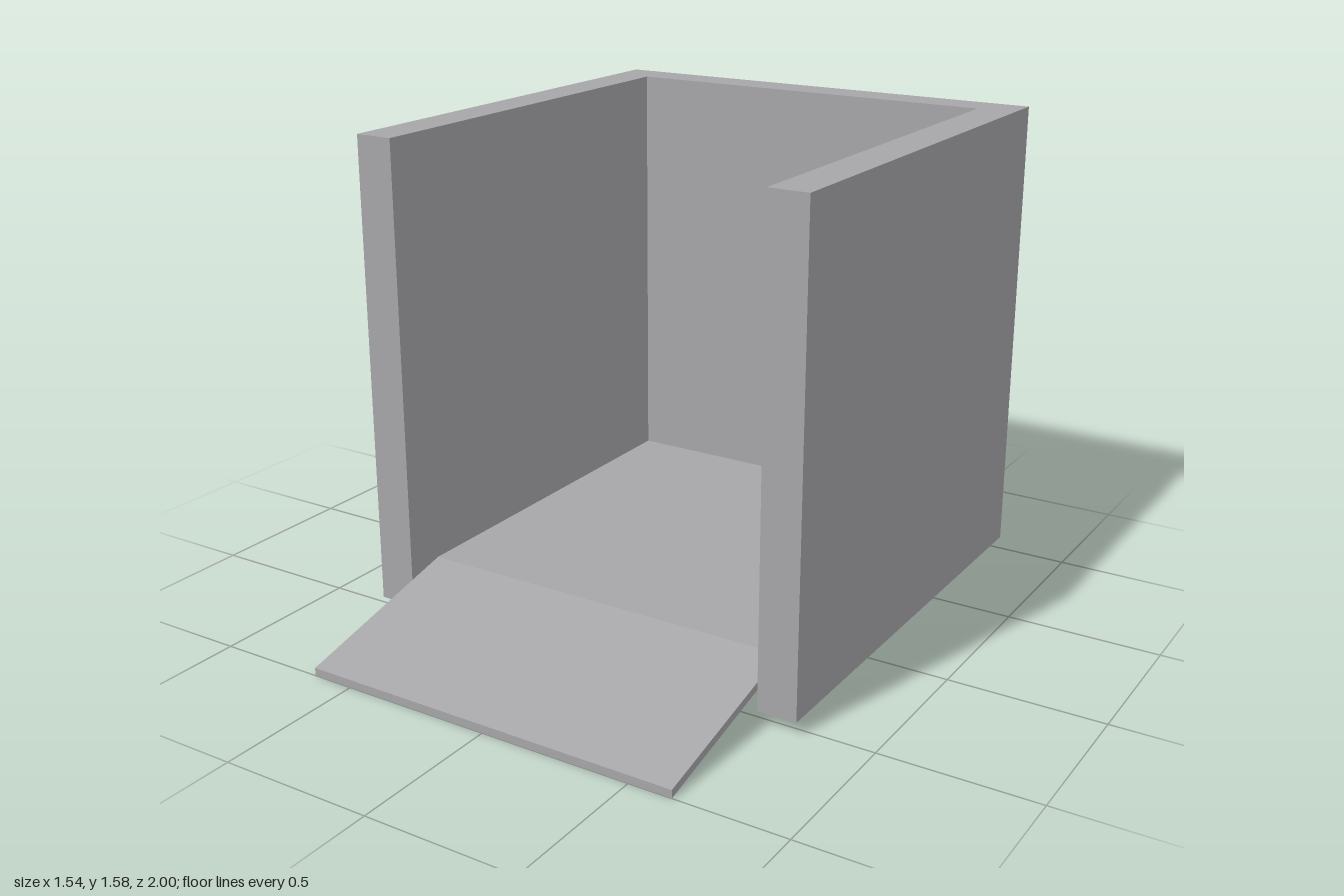
import * as THREE from 'three';

export function createModel() {
  const model = new THREE.Group();
  const grey = new THREE.MeshStandardMaterial({ color: 0xa6a6a9 });
  grey.name = 'plain grey';

  const outer = 0.768, inner = 0.64;
  const back = -1, innerBack = -0.875, front = 0.537;
  const bottom = 0.042, top = 1.577;
  const floorTop = 0.166, floorBottom = 0.141, floorFront = 0.405;

  // Extrude a closed outline of [u, v] points
  const extrude = (name, points, depth) => {
    const shape = new THREE.Shape(points.map(([u, v]) => new THREE.Vector2(u, v)));
    const geometry = new THREE.ExtrudeGeometry(shape, { depth, bevelEnabled: false });
    const mesh = new THREE.Mesh(geometry, grey);
    mesh.name = name;
    model.add(mesh);
    return mesh;
  };

  // U-shaped walls, drawn in plan (x, -z) and raised upright
  const walls = extrude('walls', [
    [-outer, -front], [-inner, -front], [-inner, -innerBack], [inner, -innerBack],
    [inner, -front], [outer, -front], [outer, -back], [-outer, -back],
  ], top - bottom);
  walls.rotation.x = -Math.PI / 2;
  walls.position.y = bottom;

  // Thin floor, set above the lower edge of the walls
  const floor = new THREE.Mesh(
    new THREE.BoxGeometry(2 * inner, floorTop - floorBottom, floorFront - innerBack), grey);
  floor.name = 'floor';
  floor.position.set(0, (floorTop + floorBottom) / 2, (floorFront + innerBack) / 2);
  model.add(floor);

  // Sloping entry ramp, drawn in side section (-z, y) and swept across x
  const ramp = extrude('ramp', [
    [-1, 0], [-floorFront, floorBottom], [-floorFront, floorTop], [-1, 0.026],
  ], 2 * inner);
  ramp.rotation.y = Math.PI / 2;
  ramp.position.x = -inner;

  return model;
}
